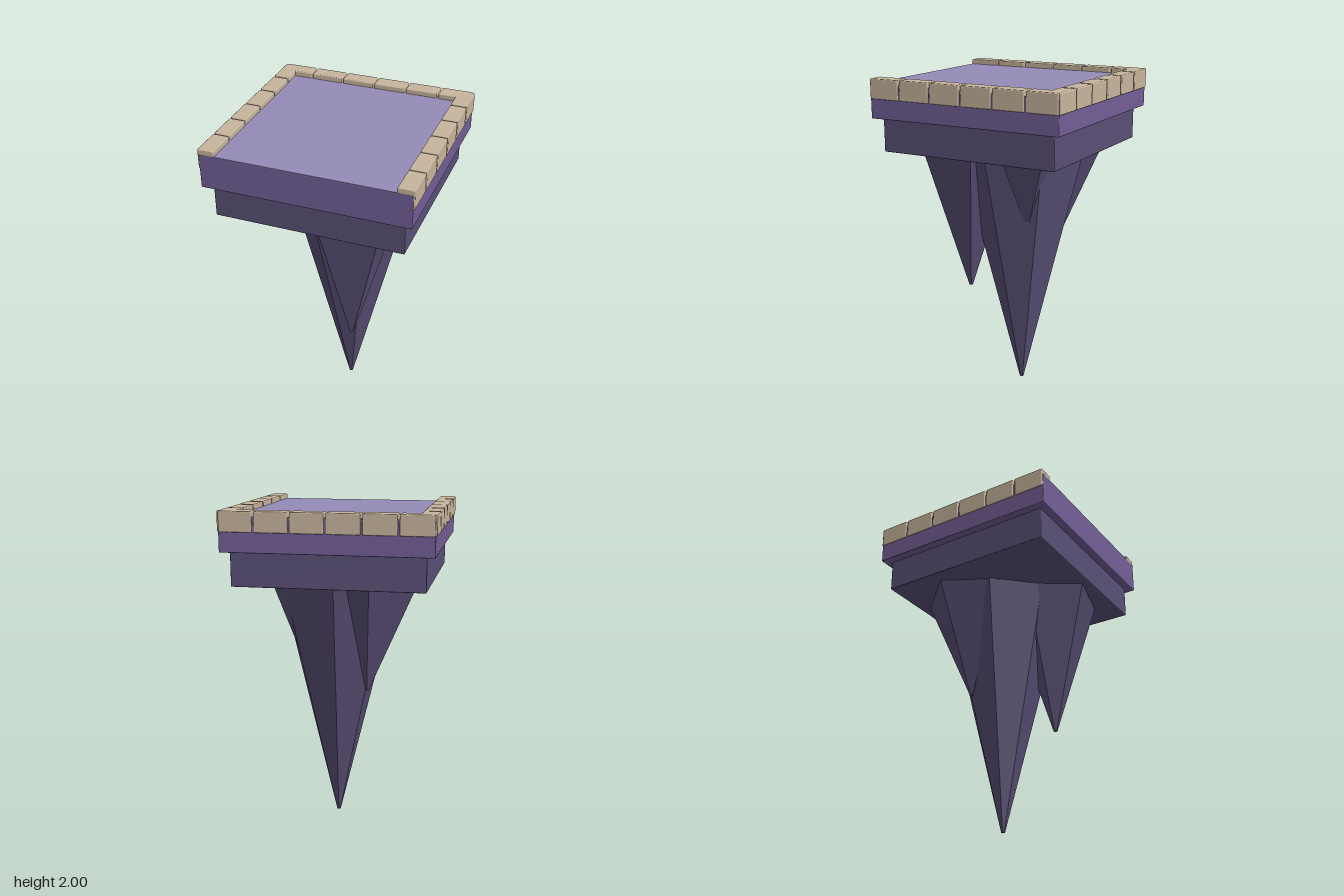
import * as THREE from 'three';
import { RoundedBoxGeometry } from 'three/addons/geometries/RoundedBoxGeometry.js';

function material(name, color) {
  const m = new THREE.MeshStandardMaterial({ color });
  m.name = name;
  return m;
}

export function createModel() {
  const group = new THREE.Group();
  const stone = material('dark purple stone', 0x5a5077);
  const purple = material('purple slab', 0x735f97);
  const lavender = material('lavender floor', 0x958cb9);
  const sand = material('sand brick', 0xc8b59d);

  const add = (name, geometry, mat, x, y, z) => {
    const mesh = new THREE.Mesh(geometry, mat);
    mesh.name = name;
    mesh.position.set(x, y, z);
    group.add(mesh);
    return mesh;
  };

  // Two stacked slabs and the floor surface
  add('lowerSlab', new RoundedBoxGeometry(1.14, 0.205, 1.14, 1, 0.005), stone, 0, 1.6595, 0);
  add('upperSlab', new RoundedBoxGeometry(1.24, 0.205, 1.24, 1, 0.005), purple, 0, 1.8645, 0);
  add('floor', new THREE.BoxGeometry(1.234, 0.004, 1.234), lavender, 0, 1.967, 0);

  // Brick border on the left, right and back; the front stays open
  const pitch = 0.2075;
  const sideBrick = new RoundedBoxGeometry(0.1, 0.12, 0.197, 1, 0.007);
  const backBrick = new RoundedBoxGeometry(0.197, 0.12, 0.1, 1, 0.007);
  for (let i = 0; i < 6; i++) {
    const along = (i - 2.5) * pitch;
    for (const side of [-1, 1]) {
      add(side > 0 ? 'leftBrick' : 'rightBrick', sideBrick, sand, side * 0.578, 1.94, along);
    }
    add('backBrick', backBrick, sand, along, 1.94, -0.578);
  }

  // Faceted rock spikes hanging below; angle is that of one ridge, from +x towards +z
  const top = 1.56;
  const spike = (name, x, z, tipY, radius, sides, angle) => {
    const start = THREE.MathUtils.degToRad(90 - angle);
    const indexed = new THREE.CylinderGeometry(radius, 0.012, top - tipY, sides, 1, false, start);
    const geometry = indexed.toNonIndexed();
    geometry.computeVertexNormals();
    add(name, geometry, stone, x, (top + tipY) / 2, z);
  };
  spike('mainSpike', 0.03, -0.08, 0, 0.4, 7, 109);
  spike('frontSpike', 0.145, 0.235, 0.63, 0.305, 5, 111);
  spike('backRightSpike', -0.17, -0.19, 0.86, 0.32, 5, 115);
  spike('backLeftSpike', 0.24, -0.23, 1.12, 0.21, 5, 20);

  return group;
}
